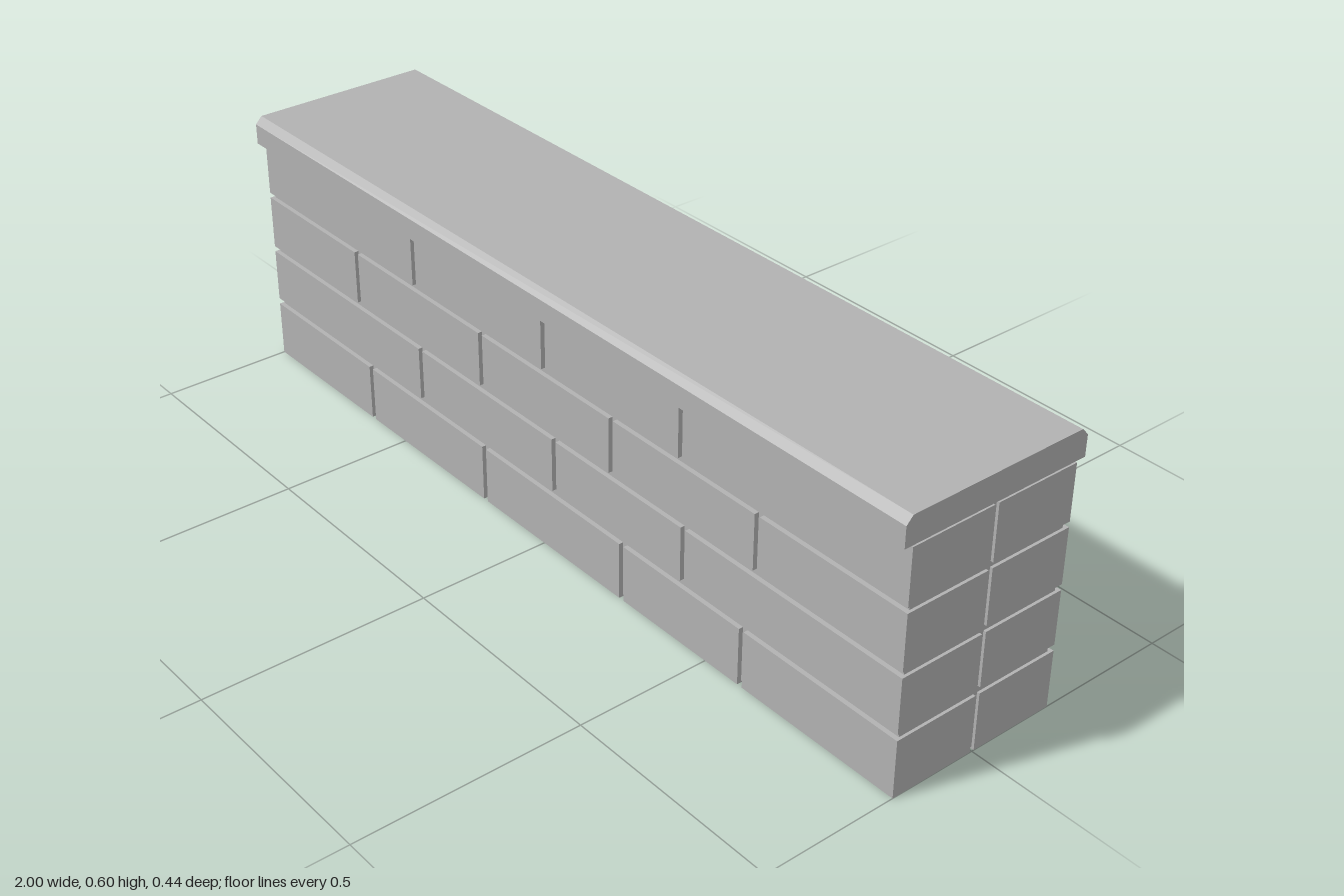
import * as THREE from 'three';

export function createModel() {
  const wall = new THREE.Group();
  wall.name = 'brickWall';
  const stone = new THREE.MeshStandardMaterial({ color: 0xb2b2b2 });
  stone.name = 'grey stone';

  const add = (parent, name, geometry, x = 0, y = 0, z = 0) => {
    const mesh = new THREE.Mesh(geometry, stone);
    mesh.name = name;
    mesh.position.set(x, y, z);
    parent.add(mesh);
  };

  // Recessed mortar core, showing at the bottom of the joints
  add(wall, 'mortarCore', new THREE.BoxGeometry(1.988, 0.536, 0.38), 0, 0.272, 0);

  // Courses of bricks: bottom and top height, joint centres on each face
  const gap = 0.013;
  const courses = [
    { y: [0, 0.129], front: [-0.622, -0.202, 0.249, 0.598], back: [-0.41, 0, 0.449] },
    { y: [0.143, 0.265], front: [-0.422, 0.037, 0.43], back: [-0.627, -0.199, 0.251, 0.701] },
    { y: [0.278, 0.401], front: [-0.652, -0.202, 0.217, 0.629], back: [-0.411, 0.017, 0.467] },
    { y: [0.413, 0.536], front: [-0.432, 0.008, 0.419], back: [-0.63, -0.202, 0.227, 0.636] },
  ];
  const zInner = 0.005, zOuter = 0.2;
  courses.forEach(({ y: [y0, y1], front, back }, row) => {
    [[front, 1, 'front'], [back, -1, 'back']].forEach(([joints, side, label]) => {
      const course = new THREE.Group();
      course.name = `${label}Course${row + 1}`;
      const stops = [-1 - gap / 2, ...joints, 1 + gap / 2];
      for (let i = 0; i < stops.length - 1; i++) {
        const x0 = stops[i] + gap / 2, x1 = stops[i + 1] - gap / 2;
        add(course, 'brick', new THREE.BoxGeometry(x1 - x0, y1 - y0, zOuter - zInner),
          (x0 + x1) / 2, (y0 + y1) / 2, side * (zInner + zOuter) / 2);
      }
      wall.add(course);
    });
  });

  // Coping slab with chamfered long edges, extruded along the wall
  const profile = new THREE.Shape([
    [-0.22, 0.54], [0.22, 0.54], [0.22, 0.586], [0.205, 0.602], [-0.205, 0.602], [-0.22, 0.586],
  ].map(([z, y]) => new THREE.Vector2(z, y)));
  const coping = new THREE.ExtrudeGeometry(profile, { depth: 2, bevelEnabled: false });
  coping.translate(0, 0, -1).rotateY(Math.PI / 2);
  add(wall, 'coping', coping);

  return wall;
}
